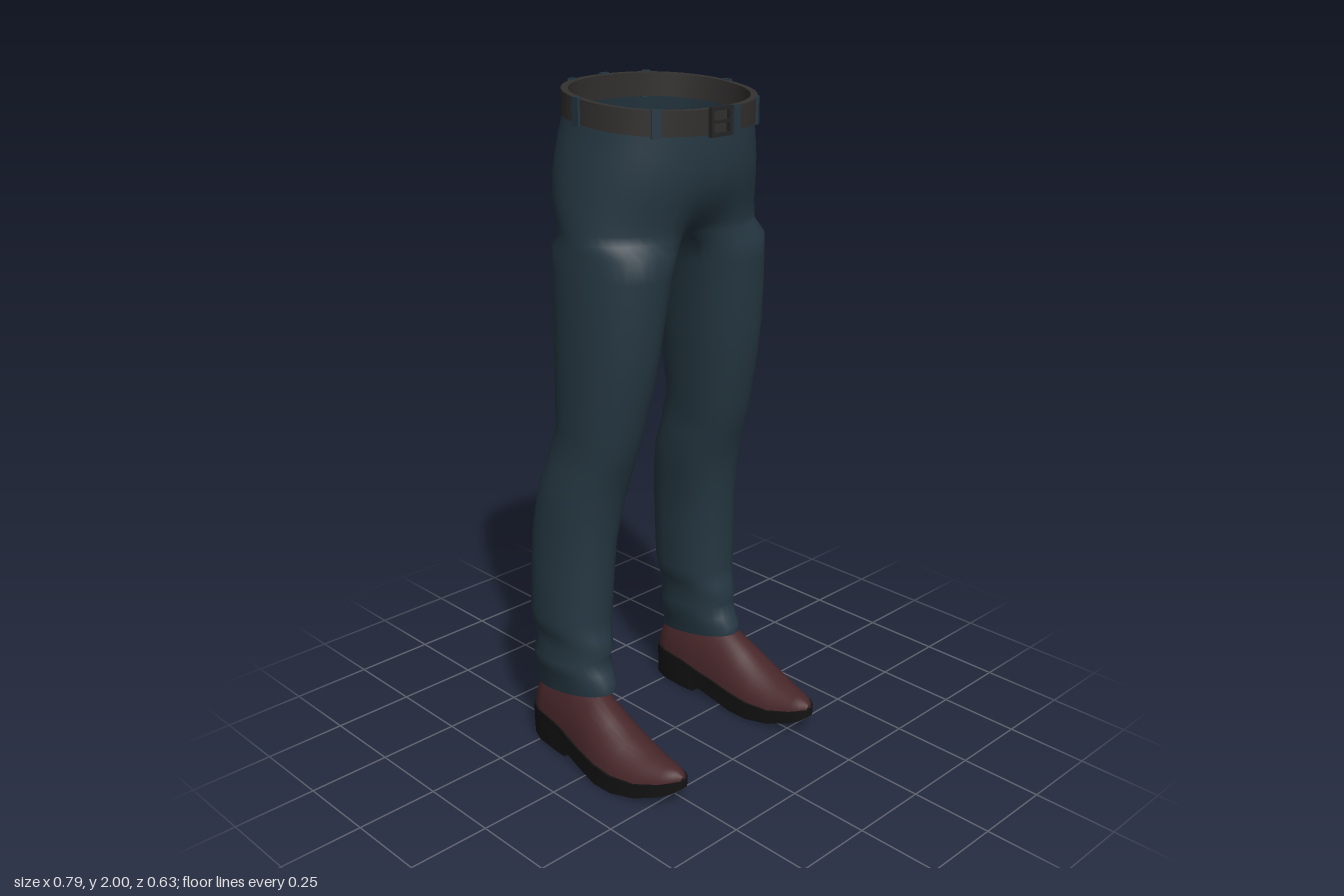
import * as THREE from 'three';
import { mergeGeometries, mergeVertices, toCreasedNormals } from 'three/addons/utils/BufferGeometryUtils.js';

const M = 26, N = 36; // outer arc steps, full leg ring steps

const spow = (v, n) => Math.sign(v) * Math.abs(v) ** (2 / n);

// Skin consecutive rows of [x, y, z] points
function loft(rows, closed) {
  const pos = rows.flat(2), idx = [], n = rows[0].length;
  for (let r = 0; r < rows.length - 1; r++) {
    for (let k = 0; k < (closed ? n : n - 1); k++) {
      const k2 = (k + 1) % n, a = r * n + k, b = r * n + k2, c = a + n, d = b + n;
      idx.push(a, c, b, b, c, d);
    }
  }
  const g = new THREE.BufferGeometry();
  g.setAttribute('position', new THREE.Float32BufferAttribute(pos, 3));
  g.setIndex(idx);
  g.computeVertexNormals();
  return g;
}

// Mirror an indexed geometry across x = 0, keeping faces outward
function mirrored(geo) {
  const g = geo.clone().scale(-1, 1, 1), ix = g.index.array;
  for (let i = 0; i < ix.length; i += 3) [ix[i], ix[i + 1]] = [ix[i + 1], ix[i]];
  g.computeVertexNormals();
  return g;
}

// Point on a tilted waist outline, angle 0 = front, 90 degrees = left side
function waistPoint(a, [y, w, zf, zb, tilt, pinch]) {
  const cz = (zf + zb) / 2, d = (zf - zb) / 2;
  const x = Math.abs(Math.sin(a)) < 1e-6 ? 0 : w * spow(Math.sin(a), 2.2);
  const dz = d * spow(Math.cos(a), 2.2) * (1 - pinch * Math.exp(-((x / 0.08) ** 2)));
  return [x, y + tilt * dz, cz + dz];
}

function legRing([y, xi, xo, zf, zb, tilt]) {
  const cx = (xi + xo) / 2, w = (xo - xi) / 2, cz = (zf + zb) / 2, d = (zf - zb) / 2;
  const ring = [];
  for (let k = 0; k < N; k++) {
    const deg = k <= M ? -50 + 280 * k / M : 230 + 80 * (k - M) / (N - M);
    const a = THREE.MathUtils.degToRad(deg);
    const dz = d * spow(Math.cos(a), 2.2);
    ring.push([cx + w * spow(Math.sin(a), 2.2), y + tilt * dz, cz + dz]);
  }
  return ring;
}

function trousersGeometry() {
  // y, half width, front z, back z, tilt, centre pinch
  const hips = [
    [1.966, 0.272, 0.164, -0.276, -0.11, 0], [1.9, 0.279, 0.166, -0.288, -0.11, 0],
    [1.85, 0.288, 0.166, -0.302, -0.08, 0], [1.8, 0.297, 0.165, -0.312, -0.05, 0],
    [1.75, 0.304, 0.16, -0.316, -0.03, 0.01], [1.7, 0.311, 0.15, -0.308, 0, 0.04],
    [1.66, 0.315, 0.138, -0.285, 0, 0.1], [1.625, 0.318, 0.132, -0.265, 0, 0.22],
    [1.597, 0.32, 0.13, -0.255, 0, 0.36],
  ];
  const hipRows = hips.map(h => Array.from({ length: M + 1 }, (_, k) => waistPoint(Math.PI * k / M, h)));
  // Crotch outline: half waist closed by a seam along x = 0
  const arc = hipRows[hipRows.length - 1], f = arc[0], b = arc[M];
  const crotch = [...arc];
  for (let k = M + 1; k < N; k++) {
    const t = (k - M) / (N - M);
    crotch.push([0, f[1], b[2] + (f[2] - b[2]) * t]);
  }
  // y, inner x, outer x, front z, back z, tilt
  const legs = [
    [1.565, 0.02, 0.322, 0.128, -0.25, 0], [1.5, 0.043, 0.325, 0.123, -0.243, 0],
    [1.4, 0.063, 0.328, 0.115, -0.235, 0], [1.3, 0.077, 0.33, 0.105, -0.23, 0],
    [1.2, 0.09, 0.33, 0.09, -0.225, 0], [1.1, 0.105, 0.33, 0.067, -0.222, 0],
    [1.05, 0.11, 0.33, 0.056, -0.216, 0], [1.0, 0.117, 0.33, 0.044, -0.235, 0],
    [0.94, 0.121, 0.335, 0.025, -0.252, 0], [0.88, 0.118, 0.347, 0.002, -0.272, 0],
    [0.8, 0.13, 0.352, -0.015, -0.295, 0], [0.7, 0.144, 0.355, -0.03, -0.31, 0],
    [0.6, 0.151, 0.359, -0.036, -0.314, 0], [0.45, 0.154, 0.37, -0.046, -0.311, 0],
    [0.4, 0.168, 0.358, -0.04, -0.309, 0], [0.355, 0.183, 0.345, -0.02, -0.308, 0.04],
    [0.315, 0.176, 0.363, -0.04, -0.307, 0.08], [0.27, 0.184, 0.35, -0.022, -0.306, 0.13],
    [0.235, 0.193, 0.342, 0, -0.306, 0.17], [0.205, 0.198, 0.338, 0, -0.306, 0.18],
  ];
  const half = [loft(hipRows, false), loft([crotch, ...legs.map(legRing)], true)];
  const parts = [...half, ...half.map(mirrored)];
  parts.forEach(g => g.deleteAttribute('normal'));
  const g = mergeVertices(mergeGeometries(parts), 1e-4);
  g.computeVertexNormals();
  return g;
}

function beltGeometry() {
  const outer = [0.284, 0.173, -0.286], inner = [0.264, 0.155, -0.268];
  const row = (y, s) => Array.from({ length: 48 }, (_, k) =>
    waistPoint(Math.PI * 2 * k / 48, [y, ...s, -0.11, 0]));
  return toCreasedNormals(loft([row(1.971, inner), row(1.971, outer), row(1.905, outer),
    row(1.905, inner), row(1.971, inner)], true), 0.7);
}

// z, centre x, half width, sole bottom, sole top, upper top (toe to heel)
const SHOE = [
  [0.316, 0.276, 0.012, 0.06, 0.085, 0.098], [0.3, 0.278, 0.034, 0.048, 0.084, 0.11],
  [0.27, 0.282, 0.055, 0.034, 0.075, 0.116], [0.2, 0.287, 0.084, 0.012, 0.06, 0.122],
  [0.12, 0.29, 0.101, 0, 0.06, 0.147], [0.05, 0.29, 0.103, 0, 0.068, 0.185],
  [-0.03, 0.285, 0.097, 0.014, 0.08, 0.232], [-0.11, 0.277, 0.089, 0.026, 0.09, 0.25],
  [-0.115, 0.276, 0.088, 0.004, 0.092, 0.25], [-0.16, 0.273, 0.086, 0, 0.1, 0.255],
  [-0.25, 0.27, 0.079, 0, 0.105, 0.24], [-0.295, 0.268, 0.06, 0, 0.105, 0.2],
  [-0.31, 0.268, 0.035, 0.005, 0.1, 0.16],
];

// Close both ends of a loft by collapsing a row to its middle
function capped(rows) {
  const mid = r => {
    const c = [0, 1, 2].map(i => r.reduce((s, p) => s + p[i], 0) / r.length);
    return r.map(() => c);
  };
  return [mid(rows[0]), ...rows, mid(rows[rows.length - 1])];
}

function soleGeometry() {
  const rows = SHOE.map(([z, cx, w, lo, hi]) =>
    [[cx + w, hi, z], [cx - w, hi, z], [cx - w * 0.95, lo, z], [cx + w * 0.95, lo, z]]);
  return loft(capped(rows), true);
}

function upperGeometry() {
  const rows = SHOE.map(([z, cx, w, , hi, top]) => Array.from({ length: 17 }, (_, k) => {
    const a = Math.PI * k / 16, s = Math.abs(Math.sin(a)), base = hi - 0.006;
    return [cx + w * 0.95 * Math.cos(a) * (1 - 0.2 * s), base + (top - base) * s ** 0.85, z * 0.985];
  }));
  return loft(capped(rows), false);
}

export function createModel() {
  const model = new THREE.Group();
  const mat = (name, color, side = THREE.FrontSide) => {
    const m = new THREE.MeshStandardMaterial({ color, side });
    m.name = name;
    return m;
  };
  const denim = mat('dark blue denim', 0x263843, THREE.DoubleSide);
  const beltLeather = mat('grey belt leather', 0x32302f);
  const shoeLeather = mat('red brown leather', 0x48272a, THREE.DoubleSide);
  const rubber = mat('black rubber', 0x141414);
  const metal = mat('dark buckle metal', 0x252526);
  const add = (name, geo, material, parent = model) => {
    const m = new THREE.Mesh(geo, material);
    m.name = name;
    parent.add(m);
    return m;
  };

  add('trousers', trousersGeometry(), denim);
  add('belt', beltGeometry(), beltLeather);

  // Belt loops around the waist
  const loops = new THREE.Group();
  loops.name = 'beltLoops';
  model.add(loops);
  for (const deg of [10, 40, -40, 94, -94, 153, -153, 180]) {
    const a = THREE.MathUtils.degToRad(deg), s = [1.937, 0.284, 0.173, -0.286, -0.11, 0];
    const p = waistPoint(a, s), q = waistPoint(a + 0.02, s), r = waistPoint(a - 0.02, s);
    const loop = add('beltLoop', new THREE.BoxGeometry(0.026, 0.075, 0.012), denim, loops);
    loop.position.set(...p);
    loop.rotation.y = Math.atan2(-(q[2] - r[2]), q[0] - r[0]);
  }

  // Buckle frame with prong
  const buckle = new THREE.Group();
  buckle.name = 'buckle';
  buckle.position.set(-0.008, 1.913, 0.172);
  model.add(buckle);
  const rect = (C, w, h) => new C([[-w, -h], [w, -h], [w, h], [-w, h]].map(p => new THREE.Vector2(...p)));
  const frame = rect(THREE.Shape, 0.039, 0.039);
  frame.holes.push(rect(THREE.Path, 0.029, 0.029));
  add('buckleFrame', new THREE.ExtrudeGeometry(frame, { depth: 0.012, bevelEnabled: false }), metal, buckle);
  add('buckleProng', new THREE.BoxGeometry(0.06, 0.008, 0.01), metal, buckle).position.z = 0.007;

  // Shoes
  const sole = soleGeometry(), upper = upperGeometry();
  for (const side of ['left', 'right']) {
    const shoe = new THREE.Group();
    shoe.name = side + 'Shoe';
    model.add(shoe);
    const place = g => side === 'left' ? g : mirrored(g);
    add('shoeUpper', place(upper), shoeLeather, shoe);
    add('shoeSole', toCreasedNormals(place(sole), 0.7), rubber, shoe);
  }
  return model;
}
